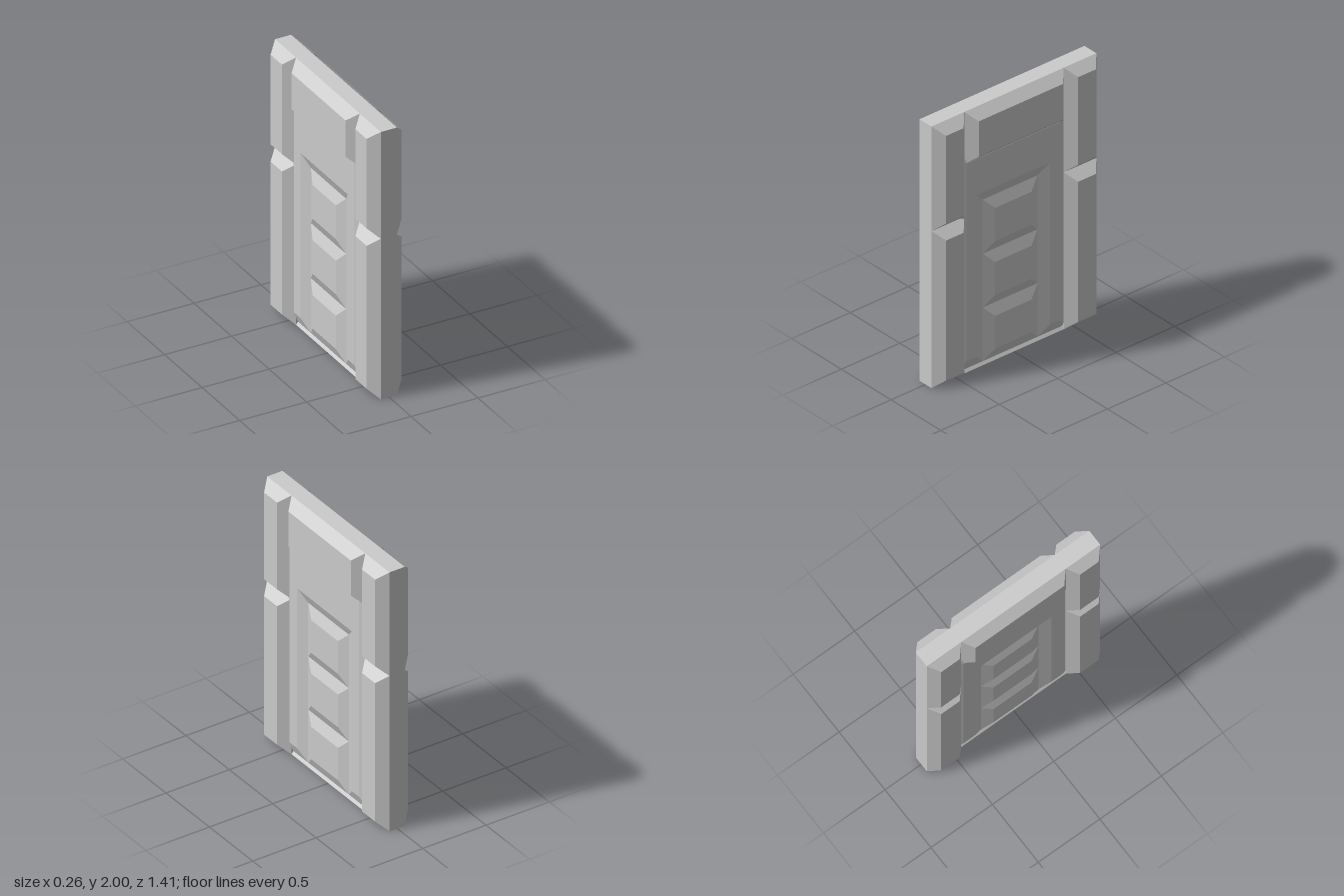
import * as THREE from 'three';

const material = new THREE.MeshStandardMaterial({ color: 0xcccccc, flatShading: true });

// Outlines are drawn as seen from +x: u runs along -z, v runs up, counter-clockwise
const rect = (z0, z1, y0, y1) => [[-z1, y0], [-z0, y0], [-z0, y1], [-z1, y1]];

// Shrink a right-angled outline evenly by b, keeping mitred corners
function inset(outline, b) {
  const n = outline.length;
  return outline.map((p, i) => {
    const a = outline[(i + n - 1) % n], c = outline[(i + 1) % n];
    const normal = (s, e) => [-Math.sign(e[1] - s[1]), Math.sign(e[0] - s[0])];
    const n1 = normal(a, p), n2 = normal(p, c);
    return [p[0] + b * (n1[0] + n2[0]), p[1] + b * (n1[1] + n2[1])];
  });
}

// Skin a stack of outlines [x, outline] from low x to high x and cap both ends
function loft(name, layers) {
  const n = layers[0][1].length, pos = [], index = [];
  for (const [x, outline] of layers) for (const [u, v] of outline) pos.push(x, v, -u);
  for (let k = 0; k + 1 < layers.length; k++) {
    for (let i = 0; i < n; i++) {
      const a = k * n + i, b = k * n + (i + 1) % n;
      index.push(a, b, b + n, a, b + n, a + n);
    }
  }
  const last = (layers.length - 1) * n;
  const caps = (outline) => THREE.ShapeUtils.triangulateShape(outline.map((p) => new THREE.Vector2(...p)), []);
  for (const [a, b, c] of caps(layers[0][1])) index.push(a, c, b);
  for (const [a, b, c] of caps(layers[layers.length - 1][1])) index.push(last + a, last + b, last + c);
  const indexed = new THREE.BufferGeometry();
  indexed.setAttribute('position', new THREE.Float32BufferAttribute(pos, 3));
  indexed.setIndex(index);
  const geometry = indexed.toNonIndexed();
  geometry.computeVertexNormals();
  const mesh = new THREE.Mesh(geometry, material);
  mesh.name = name;
  return mesh;
}

// Thick surround block, bevelled on both faces
function block(name, outline) {
  const small = inset(outline, 0.065);
  return loft(name, [[-0.13, small], [-0.06, outline], [0.06, outline], [0.13, small]]);
}

// Shallow relief on one door face
const relief = (name, outline) => loft(name, [[0, outline], [0.045, outline], [0.077, inset(outline, 0.08)]]);

function doorFace(name) {
  const face = new THREE.Group();
  face.name = name;
  // Raised border, open at the bottom
  face.add(relief('doorFrame', [
    [-0.5, 0.02], [-0.255, 0.02], [-0.255, 1.255], [0.215, 1.255],
    [0.215, 0.02], [0.455, 0.02], [0.455, 1.69], [-0.5, 1.69],
  ]));
  // Three stacked panels
  const edges = [0.02, 0.43, 0.842, 1.255];
  for (let i = 0; i < 3; i++) {
    face.add(relief('doorPanel', rect(-0.215, 0.255, edges[i], edges[i + 1])));
  }
  return face;
}

export function createModel() {
  const group = new THREE.Group();
  group.name = 'panelledDoorway';

  // Side posts, each in two blocks
  for (const [z0, z1, side] of [[0.425, 0.705, 'front'], [-0.705, -0.425, 'back']]) {
    group.add(block(side + 'LowerPost', rect(z0, z1, 0, 1.2)));
    group.add(block(side + 'UpperPost', rect(z0, z1, 1.2, 2)));
  }
  group.add(block('lintel', rect(-0.425, 0.425, 1.6, 2)));

  // Sill with a small sloped top edge
  const low = rect(-0.425, 0.425, 0, 0.02), tip = rect(-0.425, 0.425, 0, 0.001);
  group.add(loft('sill', [[-0.06, tip], [-0.045, low], [0.045, low], [0.06, tip]]));

  // Door faces, the second turned half round
  const left = doorFace('doorLeftFace'), right = doorFace('doorRightFace');
  right.rotation.y = Math.PI;
  group.add(left, right);
  return group;
}
